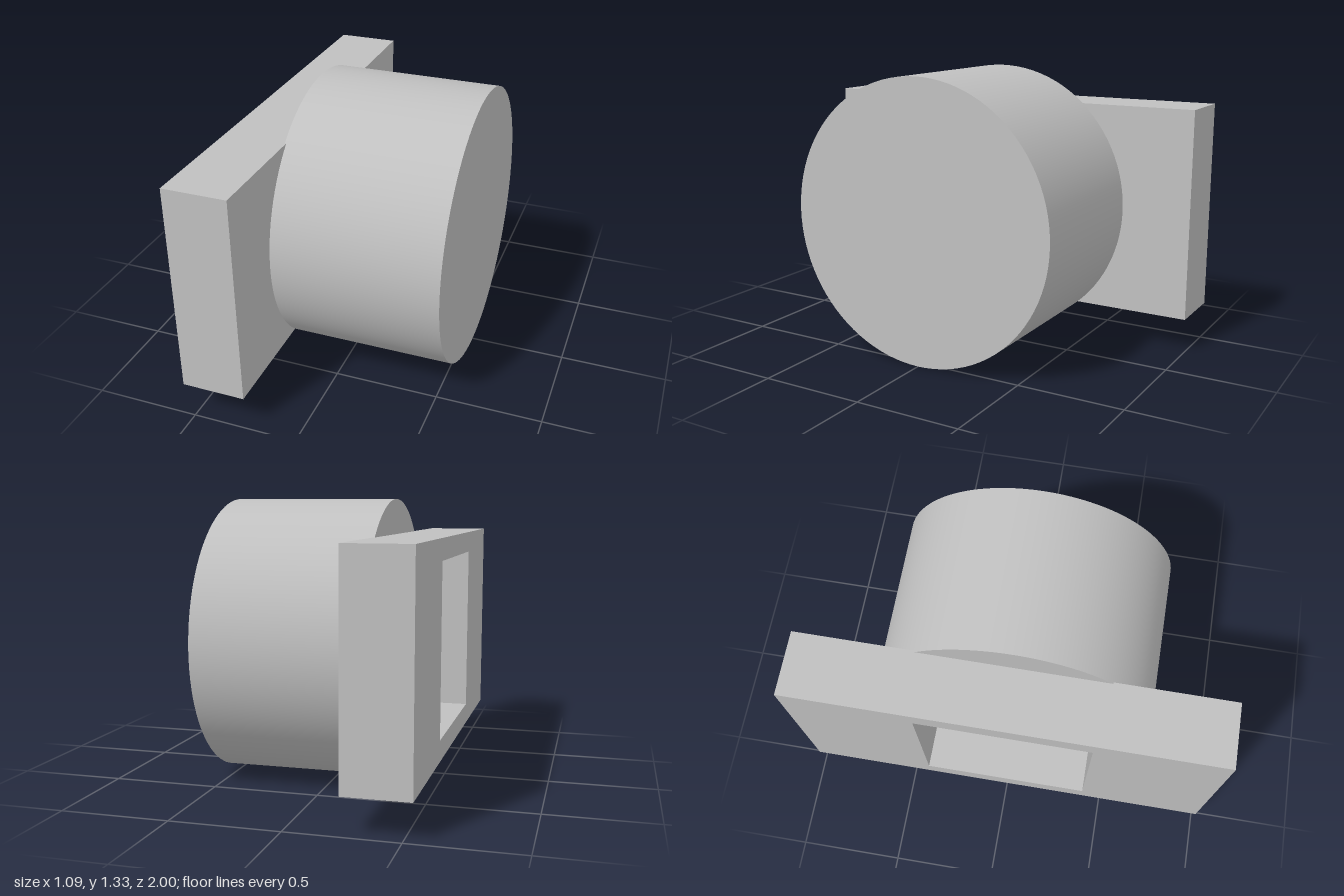
import * as THREE from 'three';

const CENTER_Y = 0.667;
const RADIUS = 0.667;
const HOLE = 0.8;
const PLATE_BACK = -0.543, PLATE_FRONT = -0.243;
const DRUM_BACK = -0.25, DRUM_FRONT = 0.543;
const POCKET_END = DRUM_FRONT - 0.1;

// Centred rectangle traced into a shape or a hole path
function rectangle(path, w, h) {
  path.moveTo(-w / 2, -h / 2);
  path.lineTo(w / 2, -h / 2);
  path.lineTo(w / 2, h / 2);
  path.lineTo(-w / 2, h / 2);
  path.closePath();
  return path;
}

export function createModel() {
  const group = new THREE.Group();
  const grey = new THREE.MeshStandardMaterial({ color: 0xc0c0c0 });
  grey.name = 'light grey';

  const add = (name, geometry, x) => {
    const mesh = new THREE.Mesh(geometry, grey);
    mesh.name = name;
    mesh.position.set(x, CENTER_Y, 0);
    group.add(mesh);
  };

  // Mounting plate with a square opening
  const plate = rectangle(new THREE.Shape(), 2, 1);
  plate.holes.push(rectangle(new THREE.Path(), HOLE, HOLE));
  const plateGeometry = new THREE.ExtrudeGeometry(plate, {
    depth: PLATE_FRONT - PLATE_BACK, bevelEnabled: false,
  }).rotateY(Math.PI / 2);
  add('mountingPlate', plateGeometry, PLATE_BACK);

  // Smooth round wall of the drum
  const wall = new THREE.CylinderGeometry(RADIUS, RADIUS, DRUM_FRONT - DRUM_BACK, 96, 1, true)
    .rotateZ(-Math.PI / 2);
  add('drumWall', wall, (DRUM_BACK + DRUM_FRONT) / 2);

  // Closed end of the drum
  add('drumEnd', new THREE.CircleGeometry(RADIUS, 96).rotateY(Math.PI / 2), DRUM_FRONT);

  // Rear face of the drum, open at the square pocket
  const rear = new THREE.Shape().absarc(0, 0, RADIUS, 0, Math.PI * 2);
  rear.holes.push(rectangle(new THREE.Path(), HOLE, HOLE));
  add('drumRear', new THREE.ShapeGeometry(rear, 96).rotateY(-Math.PI / 2), DRUM_BACK);

  // Square pocket: a box turned inside out, without its -x face
  const pocket = new THREE.BoxGeometry(POCKET_END - DRUM_BACK, HOLE, HOLE);
  const index = Array.from(pocket.index.array);
  index.splice(6, 6);
  pocket.setIndex(index.reverse());
  pocket.clearGroups();
  pocket.computeVertexNormals();
  add('pocket', pocket, (DRUM_BACK + POCKET_END) / 2);

  return group;
}
